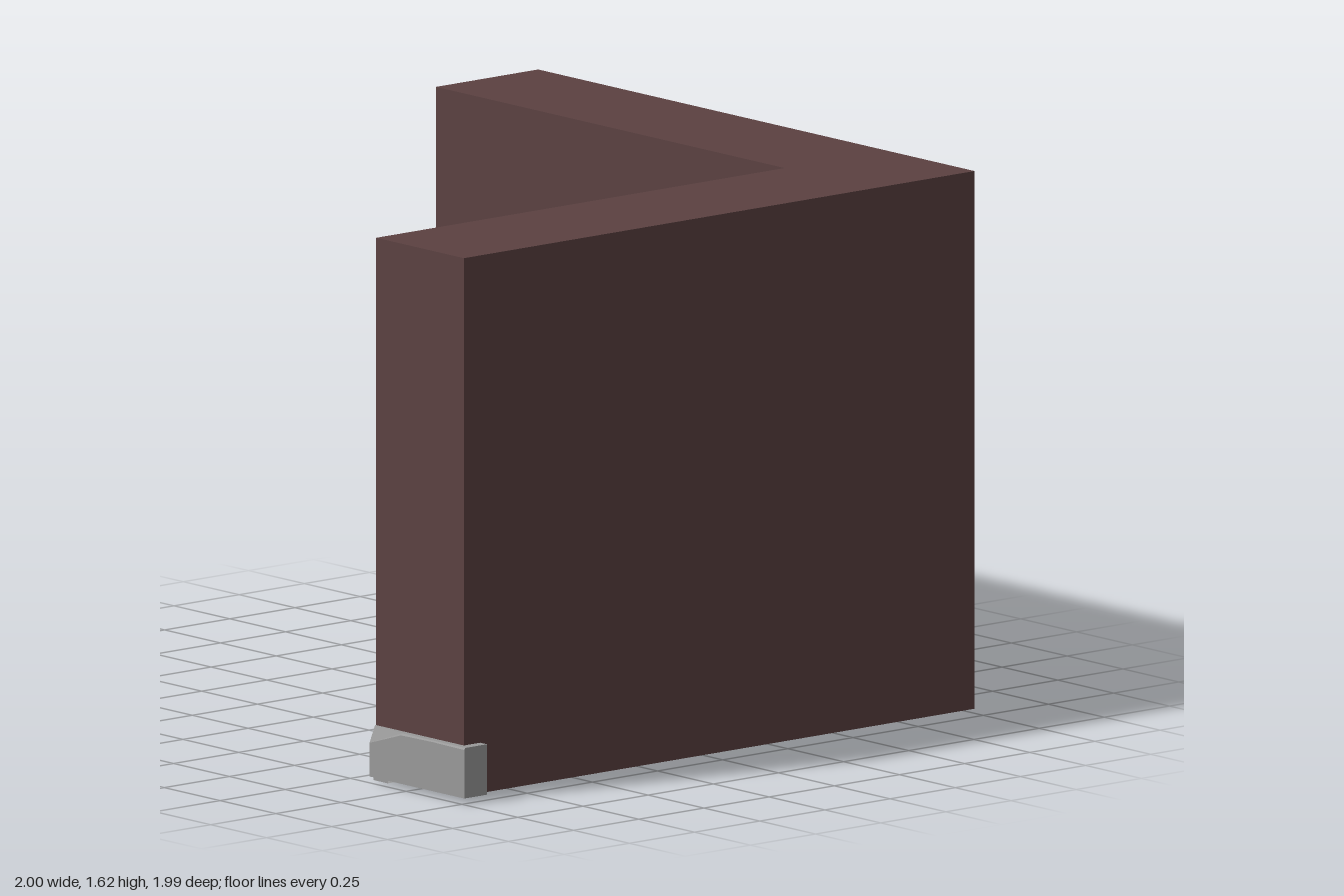
import * as THREE from 'three';

const brown = new THREE.MeshStandardMaterial({ name: 'wallBrown', color: 0x5b4141, side: THREE.DoubleSide });
const grey = new THREE.MeshStandardMaterial({ name: 'stoneGrey', color: 0x999999, side: THREE.DoubleSide, flatShading: true });

// L-shaped outline as [x, z], counterclockwise seen from above
const OUTLINE = [[-0.985, -0.6], [0.577, -0.6], [0.577, 0.967], [0.97, 0.967], [0.97, -0.992], [-0.985, -0.992]];
const BOTTOM = 0.016, TOP = 1.615;

// Wall shell, open underneath
function createWall() {
  const wall = new THREE.Group();
  wall.name = 'cornerWall';
  const h = TOP - BOTTOM;
  OUTLINE.forEach(([x, z], i) => {
    const [x2, z2] = OUTLINE[(i + 1) % OUTLINE.length];
    const panel = new THREE.Mesh(new THREE.PlaneGeometry(Math.hypot(x2 - x, z2 - z), h), brown);
    panel.name = 'wallPanel' + (i + 1);
    panel.position.set((x + x2) / 2, BOTTOM + h / 2, (z + z2) / 2);
    panel.rotation.y = Math.atan2(z - z2, x2 - x);
    wall.add(panel);
  });
  const shape = new THREE.Shape(OUTLINE.map(([x, z]) => new THREE.Vector2(x, -z)));
  const top = new THREE.Mesh(new THREE.ShapeGeometry(shape).rotateX(-Math.PI / 2), brown);
  top.name = 'wallTop';
  top.position.y = TOP;
  wall.add(top);
  return wall;
}

// Chipped base stone along x, open at the back; bevels give the chip depth along its length
function createStone(name, { from, to, y0, y1, out, depth, bevels }) {
  const pos = [];
  const quad = (a, b, c, d) => pos.push(...a, ...b, ...c, ...a, ...c, ...d);
  const sections = bevels.map((b, i) => {
    const x = from + (to - from) * i / (bevels.length - 1);
    const inset = Math.min(b * 0.6, out * 0.9);
    return [[x, y0, -depth], [x, y0, out], [x, y1 - b, out], [x, y1, out - inset], [x, y1, -depth]];
  });
  for (let i = 0; i < sections.length - 1; i++) {
    const a = sections[i], b = sections[i + 1];
    for (let k = 0; k < 4; k++) quad(a[k], b[k], b[k + 1], a[k + 1]);
  }
  // End faces
  const first = sections[0], last = sections[sections.length - 1];
  for (let k = 1; k < 4; k++) {
    pos.push(...first[0], ...first[k], ...first[(k + 1)]);
    pos.push(...last[0], ...last[k + 1], ...last[k]);
  }
  const geo = new THREE.BufferGeometry();
  geo.setAttribute('position', new THREE.Float32BufferAttribute(pos, 3));
  geo.computeVertexNormals();
  const stone = new THREE.Mesh(geo, grey);
  stone.name = name;
  return stone;
}

export function createModel() {
  const model = new THREE.Group();
  model.name = 'wallCorner';
  model.add(createWall());

  // Stones at the foot of the back arm, facing forward
  const backRow = new THREE.Group();
  backRow.name = 'backArmStones';
  backRow.position.z = -0.6;
  [
    [-0.965, -0.57, 0.168, [0.006, 0.004, 0.006, 0.012]],
    [-0.57, -0.17, 0.16, [0.006, 0.008, 0.035, 0.006, 0.006]],
    [-0.17, 0.23, 0.168, [0.035, 0.012, 0.004, 0.004, 0.012]],
    [0.23, 0.575, 0.154, [0.008, 0.005, 0.005]],
  ].forEach(([from, to, y1, bevels], i) => backRow.add(createStone('backStone' + (i + 1),
    { from, to, y0: 0.016, y1, out: 0.033, depth: 0.04, bevels })));

  // Stones at the foot of the side arm, facing inward
  const sideRow = new THREE.Group();
  sideRow.name = 'sideArmStones';
  sideRow.position.x = 0.577;
  sideRow.rotation.y = -Math.PI / 2;
  [
    [-0.6, -0.225, 0.012, 0.155, [0.01, 0.02, 0.006]],
    [-0.225, 0.17, 0.004, 0.148, [0.006, 0.006, 0.03, 0.006]],
    [0.17, 0.57, 0.008, 0.155, [0.025, 0.008, 0.006]],
    [0.57, 0.965, 0, 0.15, [0.006, 0.006, 0.03]],
  ].forEach(([from, to, y0, y1, bevels], i) => sideRow.add(createStone('sideStone' + (i + 1),
    { from, to, y0, y1, out: 0.015, depth: 0.05, bevels })));

  // End stones wrapping the two free ends of the wall
  const frontEnd = createStone('frontEndStone',
    { from: 0.575, to: 1, y0: 0.016, y1: 0.166, out: 0.024, depth: 0.063, bevels: [0.05, 0.006, 0.004, 0.006] });
  frontEnd.position.z = 0.967;
  const leftEnd = createStone('leftEndStone',
    { from: -0.996, to: -0.587, y0: 0.016, y1: 0.166, out: 0.015, depth: 0.05, bevels: [0.04, 0.006, 0.006, 0.03] });
  leftEnd.position.x = -0.985;
  leftEnd.rotation.y = -Math.PI / 2;

  model.add(backRow, sideRow, frontEnd, leftEnd);
  return model;
}
